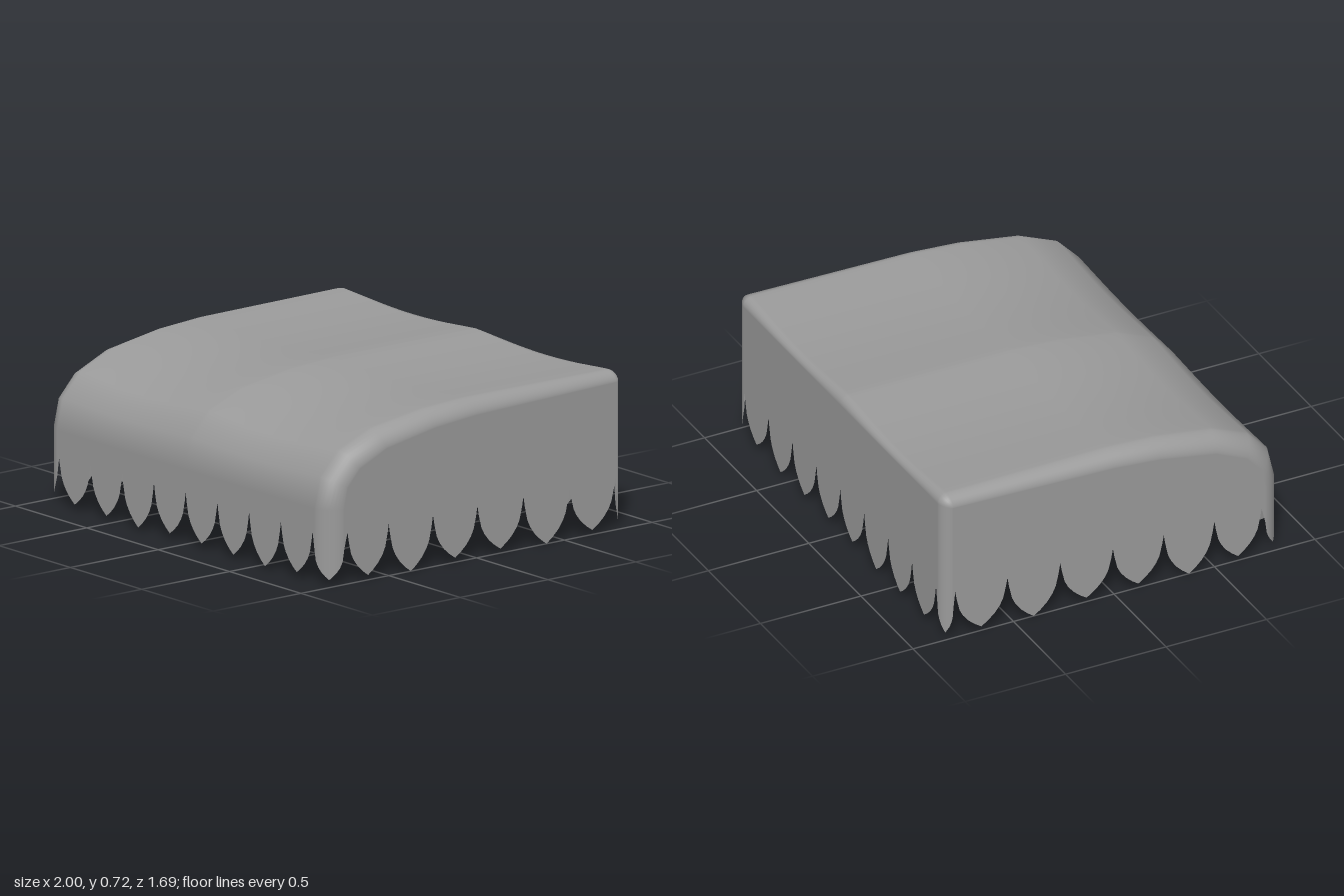
import * as THREE from 'three';
import { mergeGeometries } from 'three/addons/utils/BufferGeometryUtils.js';

const lerp = THREE.MathUtils.lerp;
const VALLEY = 0.235;

// Height of the hem: t = 0 at the notch between teeth, 1 at the tip
const TOOTH = [[0, 0], [0.06, 0.2], [0.17, 0.47], [0.3, 0.62], [0.5, 0.77], [0.75, 0.9], [1, 1]];
function hemY(t, tip) {
  let i = 1;
  while (i < TOOTH.length - 1 && TOOTH[i][0] < t) i++;
  const [a, b] = [TOOTH[i - 1], TOOTH[i]];
  return lerp(VALLEY, tip, lerp(a[1], b[1], (t - a[0]) / (b[0] - a[0])));
}

// Row of teeth between neighbouring notches, as [u, y] points
function teeth(notches, tips) {
  const out = [[notches[0], VALLEY]];
  tips.forEach((tip, i) => {
    const u = notches[i], w = notches[i + 1] - u;
    for (const [t] of TOOTH.slice(1)) out.push([u + w * t / 2, hemY(t, tip)]);
    for (const [t] of TOOTH.slice(0, -1).reverse()) out.push([u + w * (1 - t / 2), hemY(t, tip)]);
  });
  return out;
}

// Side profile [z, y] from the front wall, over the roof, to the back wall
function makeProfile() {
  const pts = [[0.843, 0.34], [0.81, 0.48], [0.71, 0.585], [0.53, 0.66], [0.24, 0.704], [0, 0.718], [-0.4, 0.718]];
  const R = 0.046;
  for (let i = 0; i <= 5; i++) {
    const a = (i / 5) * Math.PI / 2;
    pts.push([-0.797 - R * Math.sin(a), 0.718 - R + R * Math.cos(a)]);
  }
  const last = pts.length - 1;
  return pts.map(([z, y], i) => {
    const n = new THREE.Vector2();
    if (i === 0) n.set(1, 0);
    else if (i === last) n.set(-1, 0);
    else if (i >= 5 && i <= 7) n.set(0, 1);
    else n.set(pts[i + 1][1] - pts[i - 1][1], pts[i - 1][0] - pts[i + 1][0]).normalize();
    // edge rounding is wider at the front than at the back
    const k = (z + 0.843) / 1.686;
    return { z, y, n, width: lerp(0.07, 0.1, k), depth: lerp(0.045, 0.09, k) };
  });
}

// Columns across the width: rounded edge, toothed middle, rounded edge
function makeColumns() {
  const N = 10, edge = [];
  for (let i = 0; i <= N; i++) {
    const t = 0.12 + 0.88 * (1 - Math.abs(2 * i / N - 1));
    edge.push({ f: 1, a: (i / N) * Math.PI / 2, y: hemY(t, 0.022) });
  }
  const notches = Array.from({ length: 9 }, (_, i) => 0.987 * (i / 4 - 1));
  const middle = teeth(notches, [0.025, 0.018, 0.01, 0.027, 0.025, 0.018, 0.01, 0.027])
    .map(([f, y]) => ({ f, a: 0, y }));
  return [...edge.map(c => ({ ...c, f: -1 })).reverse(), ...middle, ...edge];
}

// Front, roof and back in one sheet, with rounded edges towards the sides
function sheetGeometry(profile, columns) {
  const pos = [], normal = [], uv = [], index = [];
  const first = profile[0], last = profile[profile.length - 1];
  const rows = [{ ...first, hem: true }, ...profile, { ...last, hem: true }];
  const v = new THREE.Vector3();
  for (const p of rows) {
    const up = Math.max(0, p.n.y);
    for (const c of columns) {
      const side = Math.sign(c.f), sin = Math.sin(c.a), cos = Math.max(0, Math.cos(c.a));
      const x = c.f * (1 - p.width) + side * p.width * sin ** 1.3;
      const drop = p.depth * (1 - cos ** 1.3);
      // the roof sags between the middle and each edge
      const s = Math.abs(Math.sin(Math.PI * c.f));
      const sag = 0.026 * s ** 1.2 * up;
      const slope = 0.098 * s ** 0.2 * Math.cos(Math.PI * c.f) * side * up;
      pos.push(x, p.hem ? c.y : p.y - p.n.y * drop - sag, p.z - p.n.x * drop);
      v.set(side * sin + slope * cos, p.n.y * cos, p.n.x * cos).normalize();
      normal.push(v.x, v.y, v.z);
      uv.push(0, 0);
    }
  }
  const w = columns.length;
  for (let j = 0; j < rows.length - 1; j++) {
    for (let i = 0; i < w - 1; i++) {
      const a = j * w + i;
      index.push(a, a + 1, a + w + 1, a, a + w + 1, a + w);
    }
  }
  const g = new THREE.BufferGeometry();
  g.setAttribute('position', new THREE.Float32BufferAttribute(pos, 3));
  g.setAttribute('normal', new THREE.Float32BufferAttribute(normal, 3));
  g.setAttribute('uv', new THREE.Float32BufferAttribute(uv, 2));
  g.setIndex(index);
  return g;
}

// Flat side wall with the toothed hem below and the inset profile above
function sideGeometry(profile, columns, side) {
  const inset = profile.map(p => [p.z - p.n.x * p.depth, p.y - p.n.y * p.depth]);
  const endY = columns[0].y;
  const outline = [
    ...inset,
    [inset[inset.length - 1][0], endY],
    ...teeth([-0.79, -0.53, -0.267, -0.005, 0.248, 0.5, 0.735], [0.02, 0, 0.02, 0.02, 0, 0.022]),
    [inset[0][0], endY],
  ];
  const shape = new THREE.Shape(outline.map(([z, y]) => new THREE.Vector2(-side * z, y)));
  return new THREE.ShapeGeometry(shape).rotateY(side * Math.PI / 2).translate(side, 0, 0);
}

export function createModel() {
  const profile = makeProfile();
  const columns = makeColumns();
  const canopy = new THREE.Mesh(
    mergeGeometries([
      sheetGeometry(profile, columns),
      sideGeometry(profile, columns, 1),
      sideGeometry(profile, columns, -1),
    ]),
    new THREE.MeshStandardMaterial({ color: 0x9a9a9a, side: THREE.DoubleSide }),
  );
  canopy.name = 'canopy';
  const group = new THREE.Group();
  group.name = 'scallopedAwning';
  group.add(canopy);
  return group;
}
